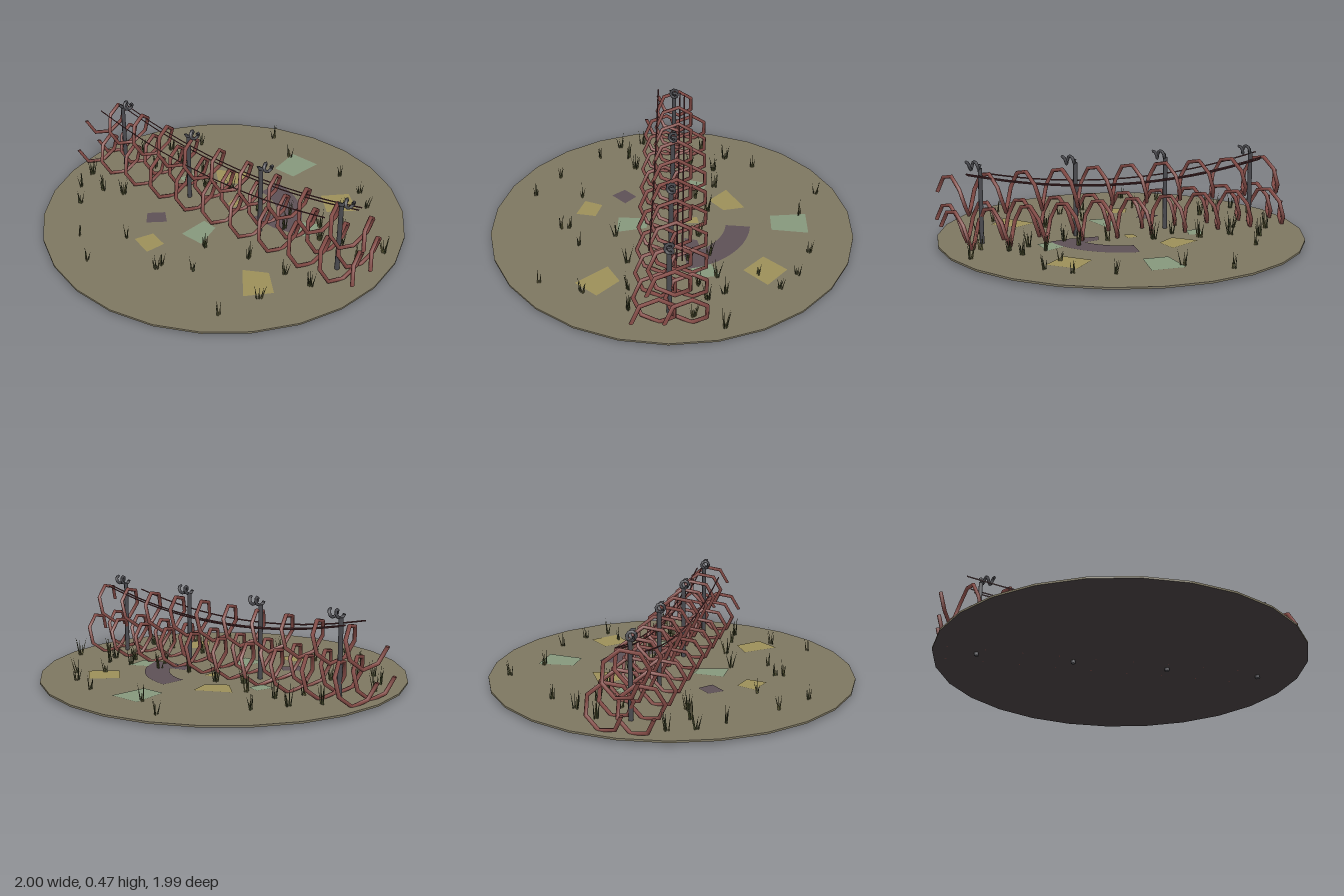
import * as THREE from 'three';
import { mergeGeometries } from 'three/addons/utils/BufferGeometryUtils.js';

const mat = (name, color, double = false) => {
  const m = new THREE.MeshStandardMaterial({ color });
  m.name = name;
  if (double) m.side = THREE.DoubleSide;
  return m;
};

// Helix around an axis parallel to x
class Helix extends THREE.Curve {
  constructor(x0, x1, cy, cz, r, turns) {
    super();
    Object.assign(this, { x0, x1, cy, cz, r, turns });
    this.arcLengthDivisions = 1400;
  }
  getPoint(t, target = new THREE.Vector3()) {
    const a = t * this.turns * Math.PI * 2;
    return target.set(
      this.x0 + (this.x1 - this.x0) * t,
      this.cy - this.r * Math.sin(a),
      this.cz + this.r * Math.cos(a));
  }
}

export function createModel() {
  const root = new THREE.Group();
  const M = {
    soil: mat('soil', 0x7d7660),
    underside: mat('dark underside', 0x443d3e),
    mint: mat('mint patch', 0x85977c, true),
    yellow: mat('yellow patch', 0x9b8f59, true),
    purple: mat('purple patch', 0x5d5056, true),
    rust: mat('rusty wire', 0x834a45, true),
    strand: mat('dark rust strand', 0x5c3336, true),
    iron: mat('iron', 0x4a4a4f, true),
    darkGrass: mat('dark grass', 0x454a2c),
    dryGrass: mat('dry grass', 0x6b6840),
  };
  const add = (name, geo, material, parent = root) => {
    const mesh = new THREE.Mesh(geo, material);
    mesh.name = name;
    parent.add(mesh);
    return mesh;
  };

  // Ground disc, 26 sides with a corner on the x axis
  const TOP = 0.027;
  const disc = new THREE.CylinderGeometry(1, 1, 0.01, 26).toNonIndexed();
  disc.computeVertexNormals();
  disc.rotateY(Math.PI / 2).translate(0, TOP - 0.005, 0);
  const sideCount = 26 * 6, capCount = 26 * 3;
  disc.clearGroups();
  disc.addGroup(0, sideCount + capCount, 0);
  disc.addGroup(sideCount + capCount, capCount, 1);
  add('ground', disc, [M.soil, M.underside]);

  // Flat coloured ground patches, corners as x, z
  const patches = [
    ['mint', [-.09, -.75, .09, -.75, .065, -.55, -.07, -.55]],
    ['mint', [-.03, .13, .06, .14, .1, .3, -.04, .3]],
    ['mint', [.38, -.21, .48, -.26, .5, -.12, .4, -.1]],
    ['mint', [-.4, -.2, -.33, -.18, -.35, -.09, -.43, -.1]],
    ['yellow', [.42, -.61, .55, -.5, .43, -.38, .31, -.49]],
    ['yellow', [-.15, -.41, -.12, -.29, -.22, -.21, -.33, -.31]],
    ['yellow', [.41, .33, .53, .26, .65, .37, .55, .49]],
    ['yellow', [-.16, .4, -.05, .43, -.07, .54, -.2, .5]],
    ['yellow', [-.05, -.14, .01, -.15, .01, -.08, -.04, -.08]],
    ['purple', [-.25, .21, -.18, .27, -.26, .35, -.32, .28]],
    ['purple', [.17, -.14, .29, -.17, .3, -.07, .15, -.07]],
  ];
  for (const [color, c] of patches) {
    const pts = [];
    for (let i = 0; i < c.length; i += 2) pts.push(new THREE.Vector2(c[i], -c[i + 1]));
    const geo = new THREE.ShapeGeometry(new THREE.Shape(pts));
    geo.rotateX(-Math.PI / 2).translate(0, TOP + 0.003, 0);
    add(color + 'Patch', geo, M[color]);
  }
  const arc = new THREE.RingGeometry(0.3, 0.435, 10, 1, 0.22, 1.26);
  arc.rotateX(-Math.PI / 2).translate(0, TOP + 0.004, 0);
  add('purpleArc', arc, M.purple);

  // Three stacked wire coils, ten turns each
  const coils = [['topCoil', .298, -.005], ['frontCoil', .13, .07], ['backCoil', .13, -.088]];
  for (const [name, cy, cz] of coils) {
    const path = new Helix(-.98, .98, cy, cz, .107, 10);
    add(name, new THREE.TubeGeometry(path, 70, .011, 6), M.rust);
  }

  // Pickets with a corkscrew loop on top
  for (const x of [-.77, -.257, .257, .77]) {
    const picket = new THREE.Group();
    picket.name = 'picket';
    add('post', new THREE.CylinderGeometry(.012, .013, .43, 6).translate(x, .215, 0), M.iron, picket);
    const loop = new Helix(x - .005, x + .07, .446, 0, .02, 1.8);
    add('postLoop', new THREE.TubeGeometry(loop, 14, .009, 5), M.iron, picket);
    root.add(picket);
  }

  // Sagging strands
  for (const [x0, x1, z] of [[-.85, .74, .097], [-.82, .85, -.035], [-.8, .85, -.062]]) {
    const pts = [];
    for (let i = 0; i <= 8; i++) {
      const x = x0 + (x1 - x0) * i / 8;
      pts.push(new THREE.Vector3(x, .305 + .105 * (x / .85) ** 2, z));
    }
    add('strand', new THREE.TubeGeometry(new THREE.CatmullRomCurve3(pts), 16, .004, 4), M.strand);
  }

  // Grass tufts, positions as x, z
  let seed = 7;
  const rnd = () => (seed = (seed * 16807) % 2147483647) / 2147483647;
  const tufts = [
    -.3, -.83, .27, -.74, .46, -.66, .57, -.56, -.59, -.48, -.09, -.71, -.69, -.31, .46, -.45,
    .62, -.28, .88, -.27, -.55, -.24, -.79, -.17, -.37, -.24, .49, -.24, .66, -.19, -.85, .2,
    -.8, .33, -.56, .23, -.68, .28, -.68, .45, -.24, .52, -.45, .67, -.26, .79, .06, .57,
    .07, .61, .22, .5, .13, .3, .37, .23, .55, .68, .62, .45, .75, .2, .59, .21,
    .3, -.2, .12, -.15, -.12, -.2, .8, -.12, -.62, -.1, -.25, -.13, .55, -.14, .35, -.1,
  ];
  const blades = { darkGrass: [], dryGrass: [] };
  for (let i = 0; i < tufts.length; i += 2) {
    const nearFence = Math.abs(tufts[i + 1]) < .34;
    const count = nearFence ? 7 : 5;
    for (let k = 0; k < count; k++) {
      const h = (nearFence ? .06 : .04) + rnd() * .06;
      const a = rnd() * Math.PI * 2, d = rnd() * .014;
      const blade = new THREE.ConeGeometry(.0045, h, 3).translate(0, h / 2, 0);
      blade.rotateZ(-(.05 + rnd() * .25)).rotateY(-a);
      blade.translate(tufts[i] + Math.cos(a) * d, TOP - .002, tufts[i + 1] + Math.sin(a) * d);
      blades[rnd() < .65 ? 'darkGrass' : 'dryGrass'].push(blade);
    }
  }
  for (const key in blades) add(key, mergeGeometries(blades[key]), M[key]);

  return root;
}
